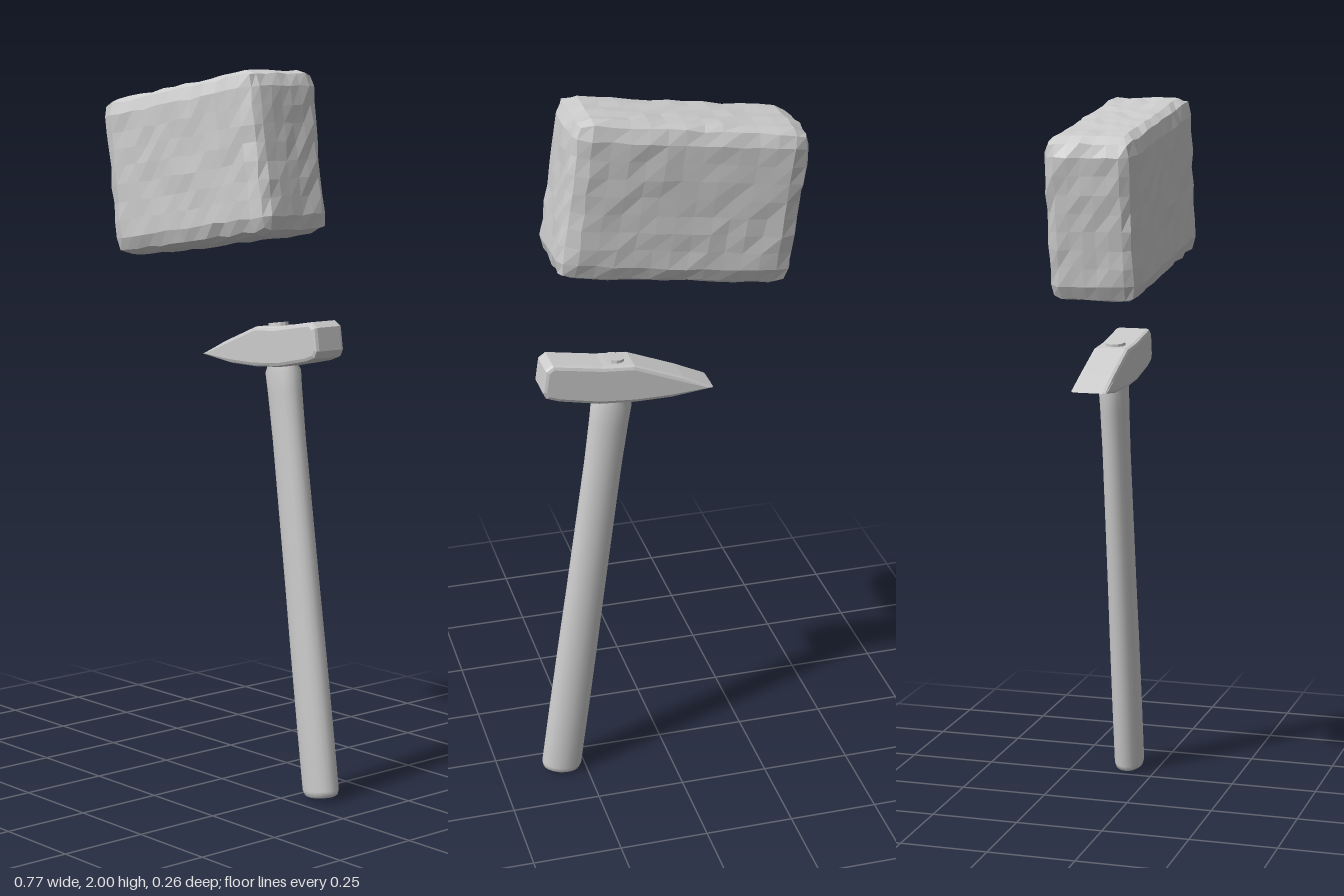
import * as THREE from 'three';
import { mergeVertices } from 'three/addons/utils/BufferGeometryUtils.js';

const stone = new THREE.MeshStandardMaterial({ color: 0xcccccc, flatShading: true });
const smooth = new THREE.MeshStandardMaterial({ color: 0xcccccc });

function part(name, geometry, material) {
  const mesh = new THREE.Mesh(geometry, material);
  mesh.name = name;
  return mesh;
}

function seeded(seed) {
  return () => (seed = (seed * 16807) % 2147483647) / 2147483647;
}

// Box with rounded, slightly chipped edges
function roughBlock(w, h, d, radius) {
  let g = new THREE.BoxGeometry(w, h, d, 13, 9, 7);
  g.deleteAttribute('normal');
  g.deleteAttribute('uv');
  g = mergeVertices(g);
  const rand = seeded(71);
  const half = new THREE.Vector3(w / 2, h / 2, d / 2);
  const p = g.attributes.position;
  const v = new THREE.Vector3(), core = new THREE.Vector3();
  for (let i = 0; i < p.count; i++) {
    v.fromBufferAttribute(p, i);
    const r = radius * (0.85 + 0.3 * rand());
    const inner = half.clone().subScalar(r);
    core.copy(v).clamp(inner.clone().negate(), inner);
    v.sub(core).setLength(r).add(core);
    // shuffle the facets along the surface, and barely in depth
    const j = () => (rand() - 0.5) * 0.006;
    p.setXYZ(i, v.x + j(), v.y + j(), v.z + j());
  }
  g.computeVertexNormals();
  return g;
}

// Head outline seen from the front, extruded across with chamfered edges
function headGeometry() {
  const outline = [
    [-0.104, 1.213], [0.0, 1.206], [0.1, 1.205], [0.2, 1.212], [0.31, 1.234], [0.34, 1.245],
    [0.346, 1.258], [0.338, 1.313], [0.325, 1.322], [0.19, 1.3], [0.105, 1.294], [-0.03, 1.241],
  ];
  const shape = new THREE.Shape(outline.map(([x, y]) => new THREE.Vector2(x, y)));
  const bevel = 0.011, width = 0.104;
  const g = new THREE.ExtrudeGeometry(shape, {
    depth: width - 2 * bevel, bevelEnabled: true,
    bevelSize: bevel, bevelThickness: bevel, bevelSegments: 2,
  });
  return g.translate(0, 0, -width / 2 + bevel);
}

export function createModel() {
  const group = new THREE.Group();

  // Tilted stone block
  const block = part('stoneBlock', roughBlock(0.652, 0.442, 0.252, 0.045), stone);
  block.position.set(-0.04, 1.745, 0);
  block.rotation.z = THREE.MathUtils.degToRad(8.1);
  group.add(block);

  const hammer = new THREE.Group();
  hammer.name = 'hammer';
  hammer.position.z = -0.077;
  hammer.add(part('hammerHead', headGeometry(), stone));

  // Oval wooden handle, leaning with its foot towards +x
  const profile = [
    [0, 0], [0.044, 0.001], [0.053, 0.006], [0.058, 0.02], [0.058, 0.2], [0.057, 0.4],
    [0.055, 0.6], [0.054, 0.8], [0.053, 1.0], [0.055, 1.13], [0.057, 1.185],
    [0.05, 1.2], [0.045, 1.27], [0, 1.275],
  ].map(([r, y]) => new THREE.Vector2(r, y));
  const handle = part('hammerHandle', new THREE.LatheGeometry(profile, 20), smooth);
  handle.scale.z = 0.74;
  handle.position.set(0.323, 0.008, -0.008);
  handle.rotation.z = Math.atan2(0.166, 1.19);
  hammer.add(handle);

  // End of the handle showing in the head's eye
  const wedge = part('handleEnd', new THREE.CylinderGeometry(0.028, 0.032, 0.04, 12), stone);
  wedge.position.set(0.15, 1.297, 0);
  wedge.rotation.z = 0.14;
  hammer.add(wedge);

  group.add(hammer);
  return group;
}
